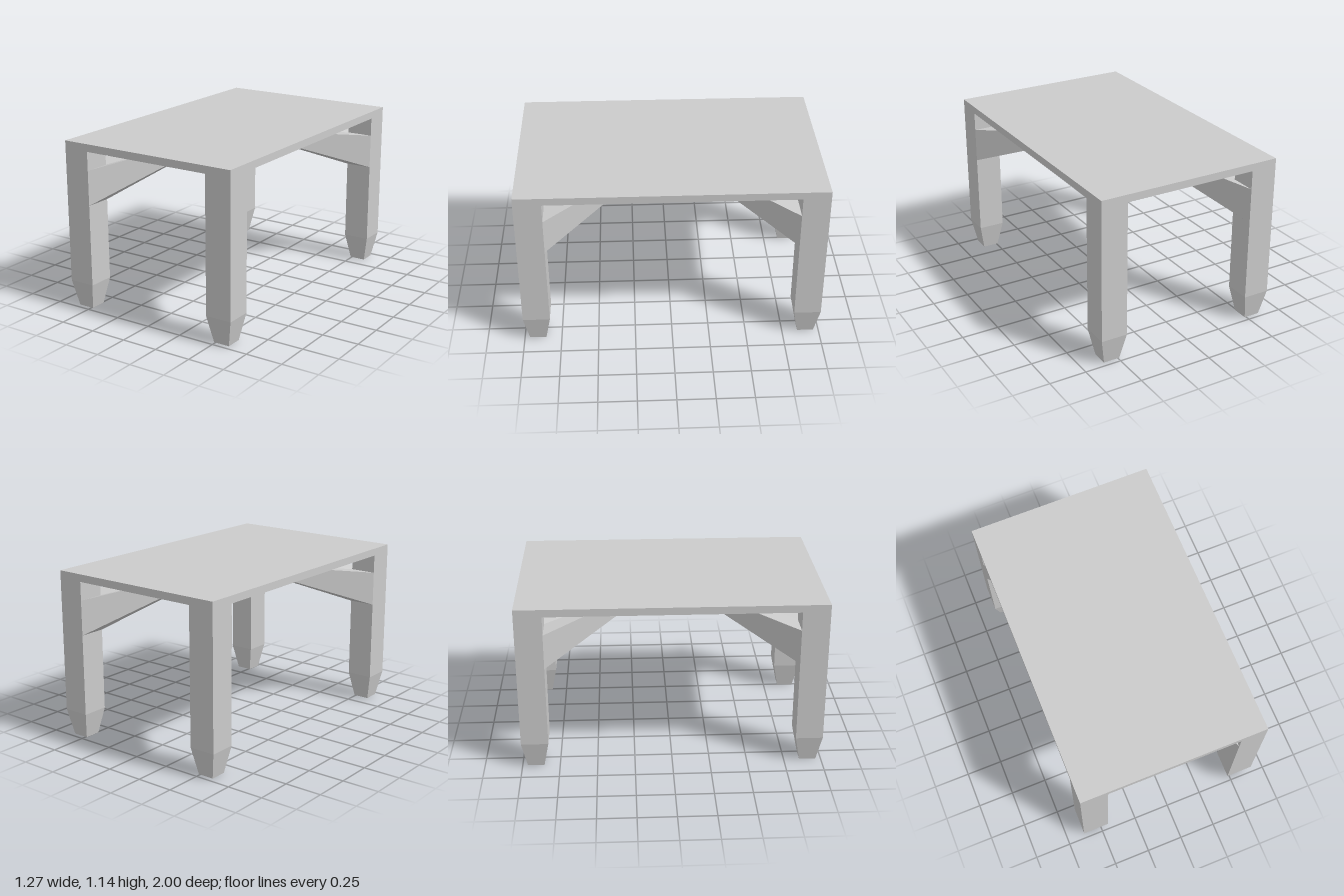
import * as THREE from 'three';

const WIDTH = 1.27, DEPTH = 2, HEIGHT = 1.14, TOP = 0.05;
const LEG = 0.18, TIP = 0.11, FOOT = 0.18;
const UNDER = HEIGHT - TOP;

// Brace running from the centre of the tabletop's underside to the inner faces of one leg
function braceGeometry(sx, sz) {
  const outX = WIDTH / 2, inX = outX - LEG, outZ = DEPTH / 2, inZ = outZ - LEG;
  const low = 0.73, high = 0.965;
  const apex = [0, UNDER, 0];
  const [a, c, b] = [[inX, outZ], [inX, inZ], [outX, inZ]].map(([x, z]) => ({
    low: [x * sx, low, z * sz],
    high: [x * sx, high, z * sz],
  }));
  const edges = [
    [a.high, c.high], [c.high, b.high], // top
    [c.low, a.low], [b.low, c.low],     // bottom
    [a.low, a.high], [b.high, b.low],   // sides
  ];
  const flip = sx * sz < 0;
  const points = edges.flatMap(([p, q]) => (flip ? [apex, q, p] : [apex, p, q])).flat();
  const geometry = new THREE.BufferGeometry();
  geometry.setAttribute('position', new THREE.Float32BufferAttribute(points, 3));
  geometry.computeVertexNormals();
  return geometry;
}

export function createModel() {
  const model = new THREE.Group();
  model.name = 'table';
  const material = new THREE.MeshStandardMaterial({ color: 0xcccccc, flatShading: true });

  const add = (parent, name, geometry, x = 0, y = 0, z = 0) => {
    const mesh = new THREE.Mesh(geometry, material);
    mesh.name = name;
    mesh.position.set(x, y, z);
    parent.add(mesh);
  };

  // Tabletop
  add(model, 'tabletop', new THREE.BoxGeometry(WIDTH, TOP, DEPTH), 0, HEIGHT - TOP / 2, 0);

  // Square post and tapered foot, shared by all legs
  const post = new THREE.BoxGeometry(LEG, UNDER - FOOT, LEG);
  const foot = new THREE.CylinderGeometry(LEG * Math.SQRT1_2, TIP * Math.SQRT1_2, FOOT, 4);
  foot.rotateY(Math.PI / 4);

  for (const sx of [1, -1]) {
    for (const sz of [1, -1]) {
      const corner = new THREE.Group();
      corner.name = `${sz > 0 ? 'front' : 'back'}${sx > 0 ? 'Left' : 'Right'}Leg`;
      const x = sx * (WIDTH - LEG) / 2, z = sz * (DEPTH - LEG) / 2;
      add(corner, 'post', post, x, (UNDER + FOOT) / 2, z);
      add(corner, 'foot', foot, x, FOOT / 2, z);
      add(corner, 'brace', braceGeometry(sx, sz));
      model.add(corner);
    }
  }
  return model;
}
